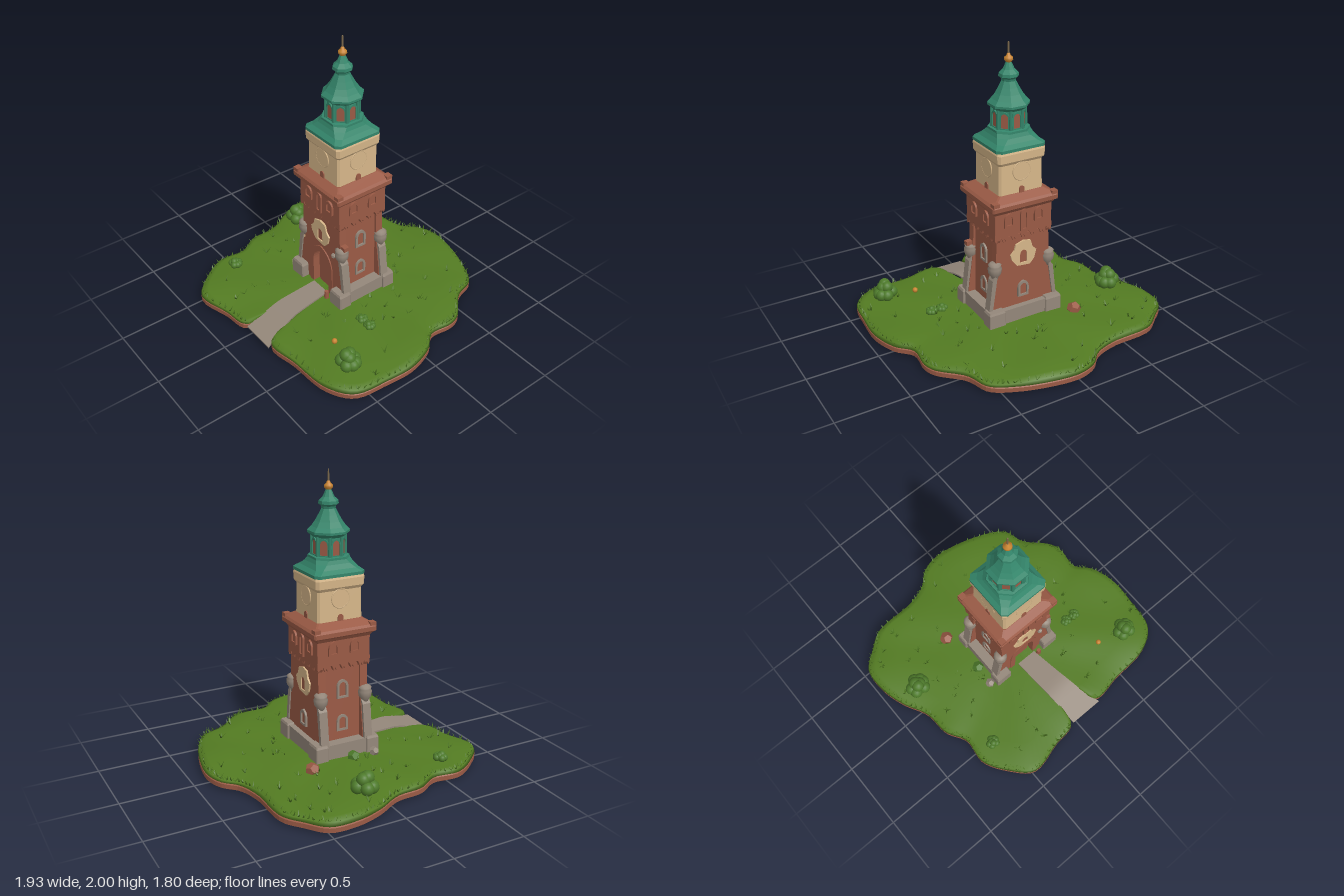
import * as THREE from 'three';
import { mergeGeometries, mergeVertices } from 'three/addons/utils/BufferGeometryUtils.js';

const mat = (name, color, side = THREE.FrontSide) => {
  const m = new THREE.MeshStandardMaterial({ color, side });
  m.name = name;
  return m;
};
let seed = 7;
const rand = () => (seed = (seed * 16807) % 2147483647) / 2147483647;
const V = (x, y, z) => new THREE.Vector3(x, y, z);

// Skins closed rings (listed bottom to top) and closes both ends
function skin(rings, smooth) {
  const centre = r => { const c = r.reduce((s, p) => s.add(p), V(0, 0, 0)).divideScalar(r.length); return r.map(() => c); };
  const all = [centre(rings[0]), ...rings, centre(rings[rings.length - 1])], pts = [];
  for (let k = 0; k < all.length - 1; k++) all[k].forEach((a, i) => {
    const j = (i + 1) % all[k].length, b = all[k][j], c = all[k + 1][j], d = all[k + 1][i];
    if (k > 0) pts.push(a, d, b);
    if (k < all.length - 2) pts.push(b, d, c);
  });
  // the bottom cap needs its own fan
  rings[0].forEach((a, i) => pts.push(all[0][0], a, rings[0][(i + 1) % rings[0].length]));
  let g = new THREE.BufferGeometry().setFromPoints(pts);
  if (smooth) g = mergeVertices(g, 1e-4);
  g.computeVertexNormals();
  return g;
}
// Stack of rectangles with cut corners: [y, halfX, halfZ, cut]
const loft = rows => skin(rows.map(([y, a, b, c]) => [
  [a, -b + c], [a, b - c], [a - c, b], [-a + c, b], [-a, b - c], [-a, -b + c], [-a + c, -b], [a - c, -b],
].map(([x, z]) => V(x, y, z))));

// Arched outline with its foot at y
function arch(w, y, h, tip = 0.5) {
  const s = new THREE.Shape(), spring = y + h - w * (1 + tip * 0.5);
  s.moveTo(-w, y); s.lineTo(w, y); s.lineTo(w, spring);
  s.quadraticCurveTo(w, y + h - w * 0.25, 0, y + h);
  s.quadraticCurveTo(-w, y + h - w * 0.25, -w, spring);
  s.closePath();
  return s;
}
const poly = p => new THREE.Shape(p.map(([x, y]) => new THREE.Vector2(x, y)));
const extrude = (s, depth) => new THREE.ExtrudeGeometry(s, { depth, bevelEnabled: false, curveSegments: 8 });
const holed = (s, hole) => { s.holes.push(new THREE.Path(hole.getPoints(8))); return s; };

export function createModel() {
  const root = new THREE.Group();
  root.name = 'clockTower';
  const brick = mat('brick', 0x9a5a45), cream = mat('plaster', 0xd6b689), stone = mat('stone', 0x94877a);
  const teal = mat('copperRoof', 0x34866b), gold = mat('gold', 0xc98430), rod = mat('rod', 0x7d6a4c);
  const grass = mat('grass', 0x537b22), blade = mat('grassBlade', 0x4a7220, THREE.DoubleSide), leaf = mat('leaf', 0x4d7a2a);
  const add = (name, g, m, x = 0, y = 0, z = 0, parent = root) => {
    const o = new THREE.Mesh(g, m);
    o.name = name; o.position.set(x, y, z); parent.add(o);
    return o;
  };
  const box = (name, m, w, h, d, x, y, z, p) => add(name, new THREE.BoxGeometry(w, h, d), m, x, y, z, p);

  // Island with a notch where the path leaves
  const outline = new THREE.CatmullRomCurve3([
    [0, -.9], [.19, -.88], [.42, -.81], [.57, -.72], [.63, -.56], [.78, -.4], [.81, -.31], [.8, -.14], [.89, -.03], [.95, .16],
    [.94, .37], [.9, .6], [.74, .71], [.45, .74], [.21, .76], [.14, .54], [-.015, .54], [-.05, .79], [-.23, .83], [-.48, .88], [-.62, .76],
    [-.73, .58], [-.72, .39], [-.8, .24], [-.82, .05], [-.91, -.13], [-.96, -.31], [-.95, -.5], [-.83, -.61], [-.7, -.7],
    [-.39, -.72], [-.23, -.77], [-.13, -.86],
  ].map(([x, z]) => V(x, 0, z)), true).getPoints(160).slice(0, -1);
  const ring = (t, y, bump = 0) => outline.map(p => V(p.x * t, y + bump * Math.sin(p.x * t * 9) * Math.cos(p.z * t * 8), p.z * t));
  add('soil', skin([ring(.97, 0), ring(1.005, .015), ring(1.005, .045), ring(.98, .062)]), brick);
  add('lawn', skin([ring(.97, .05), ring(1.005, .055), ring(.995, .075, .008), ring(.95, .088, .01), ring(.8, .097, .012),
    ring(.55, .1, .012), ring(.3, .105, .005), ring(.1, .108)], true), grass);

  // Path sloping down to the edge
  const path = new THREE.BoxGeometry(1, .012, 1, 1, 1, 10), pp = path.attributes.position, mix = THREE.MathUtils.lerp;
  for (let i = 0; i < pp.count; i++) {
    const t = pp.getZ(i) + .5, u = pp.getX(i) + .5;
    const left = mix(-.065, -.03, t), right = mix(.09, .18, t) + .045 * t ** 4;
    pp.setXYZ(i, mix(left, right, u), pp.getY(i) + (t < .55 ? .118 : mix(.118, .045, (t - .55) / .45)), .2 + t * .595);
  }
  path.computeVertexNormals();
  add('path', path, stone);

  // Grass tufts over the lawn and along the rim
  const blades = [];
  const tuft = (x, y, z, n, s) => {
    for (let i = 0; i < n; i++) {
      const a = rand() * 6.28, h = s * (.6 + rand() * .6), l = s * (.3 + rand() * .6), c = Math.cos(a), d = Math.sin(a), w = .007;
      const g = new THREE.BufferGeometry().setFromPoints([V(x - d * w, y, z + c * w), V(x + d * w, y, z - c * w), V(x + c * l, y + h, z + d * l)]);
      g.computeVertexNormals();
      blades.push(g);
    }
  };
  outline.forEach(p => { if (!(p.z > .5 && p.x > -.06 && p.x < .22)) tuft(p.x * .985, .07, p.z * .985, 3, .034); });
  for (let i = 0; i < 75; i++) {
    const p = outline[Math.floor(rand() * outline.length)], t = .35 + rand() * .6;
    if (p.z * t > .2 && Math.abs(p.x * t - .06) < .16) continue;
    if (Math.abs(p.x * t) > .3 || Math.abs(p.z * t) > .27) tuft(p.x * t, .09, p.z * t, 5, .042);
  }
  add('grassTufts', mergeGeometries(blades), blade);

  // Bushes, flower and loose rocks
  for (const [x, z, r, top] of [[-.75, -.15, .09, .245], [.72, .51, .085, .245], [-.59, .53, .05, .155], [.44, .17, .042, .14], [.52, .17, .042, .14]]) {
    const balls = [];
    for (let i = 0; i < 9; i++) {
      const a = i * 2.4, f = i < 6 ? .55 : .2, b = new THREE.IcosahedronGeometry(r * .5, 2);
      b.translate(x + Math.cos(a) * r * f, i < 6 ? mix(.09, top, .35) : top - r * .5 - (i - 6) * .008, z + Math.sin(a) * r * f);
      balls.push(b);
    }
    add('bush', mergeGeometries(balls), leaf);
  }
  add('flower', new THREE.SphereGeometry(.02, 8, 6), gold, .51, .125, .46);
  add('brickRock', new THREE.DodecahedronGeometry(.05), brick, -.35, .11, -.31);
  add('stoneRock', new THREE.DodecahedronGeometry(.035), stone, -.32, .12, .175);
  add('mossRock', new THREE.DodecahedronGeometry(.045), leaf, -.31, .11, .02);
  add('doorPost', new THREE.CylinderGeometry(.016, .02, .06, 6), brick, .115, .13, .225);

  // Lower brick storey: core plus flared front and back walls
  const tower = new THREE.Group();
  tower.name = 'tower'; tower.position.z = -.006; root.add(tower);
  const put = (name, g, m, x = 0, y = 0, z = 0, p = tower) => add(name, g, m, x, y, z, p);
  put('wallCore', loft([[.06, .2, .14, .005], [.8, .185, .14, .005]]), brick);
  const wall = () => poly([[-.258, .08], [.258, .08], [.245, .25], [.212, .48], [.2, .74], [-.2, .74], [-.212, .48], [-.245, .25]]);
  put('frontWall', extrude(holed(wall(), arch(.085, .1, .32, .8)), .055), brick, 0, 0, .13);
  put('backWall', extrude(wall(), .055), brick, 0, 0, -.185);
  put('doorSurround', extrude(holed(arch(.125, .1, .365, .8), arch(.085, .1, .32, .8)), .008), brick, 0, 0, .185);
  put('door', extrude(arch(.07, .1, .29, .8), .008), brick, 0, 0, .14);

  // Corner buttresses, plinth blocks and stone caps
  const capProfile = [[0, -.07], [.02, -.068], [.028, -.045], [.045, -.02], [.048, .015], [.04, .03], [.046, .042], [.03, .055], [0, .06]];
  const cap = new THREE.LatheGeometry(capProfile.map(([x, y]) => new THREE.Vector2(x, y)), 12);
  for (const sx of [-1, 1]) {
    box('sidePlinth', stone, .095, .15, .42, sx * .222, .13, 0, tower);
    for (const sz of [-1, 1]) {
      const strip = poly([[.24, .2], [.268, .2], [.238, .44], [.218, .47], [.2, .47]].map(([x, y]) => [x * sx, y]));
      put('buttressFacing', extrude(strip, .06), stone, 0, 0, sz * .165 - .03);
      put('buttressCap', cap, stone, sx * .207, .51, sz * .168);
      put('cornerPlinth', loft([[.06, .064, .048, .006], [.2, .062, .046, .006], [.215, .055, .04, .006]]), stone, sx * .222, 0, sz * .192);
    }
  }
  put('patch', new THREE.IcosahedronGeometry(.028, 0), cream, -.2, .44, .165);
  put('looseBrick', new THREE.BoxGeometry(.05, .03, .04), brick, .225, .575, .16);
  put('wallKnob', new THREE.DodecahedronGeometry(.02), stone, .145, .475, .19);
  box('backPlinth', stone, .4, .15, .06, 0, .13, -.195, tower);

  // Upper brick storey and cornice
  put('upperStorey', loft([[.765, .218, .196, .004], [.92, .218, .196, .004], [.945, .235, .215, .008], [.955, .25, .23, .01],
    [.985, .25, .232, .01], [1.0, .235, .22, .01], [1.035, .17, .168, .01]]), brick);
  for (const sx of [-1, 1]) for (const sz of [-1, 1]) box('corniceCorner', brick, .045, .03, .045, sx * .222, 1.0, sz * .205, tower);

  // Details repeated on every side; local +z faces outward
  const blob = () => poly([[-.09, .56], [-.1, .6], [-.07, .63], [-.06, .67], [0, .69], [.055, .68], [.07, .63], [.1, .6], [.085, .54], [.05, .5], [-.05, .51]]
    .reverse());
  for (let k = 0; k < 4; k++) {
    const face = new THREE.Group(), side = k % 2 === 1;
    face.name = ['frontDetails', 'leftDetails', 'backDetails', 'rightDetails'][k];
    face.rotation.y = k * Math.PI / 2; tower.add(face);
    const half = side ? .196 : .218, out = side ? .218 : .196, low = side ? .19 : .185;
    const window = (u, y, w, h, z, frame) => {
      if (frame) put('windowFrame', extrude(holed(arch(w + .016, y - .014, h + .032), arch(w, y, h)), .014), frame, u, 0, z, face);
      put('windowPane', extrude(arch(w, y, h), .004), brick, u, 0, z, face);
    };
    // scalloped corbels
    const s = new THREE.Shape(), n = 6, step = half * 2 / n;
    s.moveTo(half, .78); s.lineTo(-half, .78);
    for (let i = 0; i < n; i++) {
      const x = -half + i * step;
      s.lineTo(x, .735); s.lineTo(x + step * .15, .715);
      s.quadraticCurveTo(x + step * .5, .79, x + step * .85, .715); s.lineTo(x + step, .735);
    }
    s.closePath();
    put('corbels', extrude(s, .04), brick, 0, 0, out - .04, face);
    // upper windows
    for (const u of side ? [-.08, .08] : [-.115, .115]) window(u, .835, .022, .065, out, brick);
    if (!side) window(0, .785, .014, .125, out, brick);
    // lower windows
    if (side) window(0, .515, .026, .1, low, stone);
    else {
      put('plasterSurround', extrude(holed(blob(), arch(.027, .525, .095)), .012), cream, 0, 0, low, face);
      window(0, .525, .027, .095, low, null);
    }
    if (k > 0) window(0, .28, .026, .085, low, stone);
    // plaster storey: clock disc, rim and low door
    put('clockFace', new THREE.CylinderGeometry(.062, .062, .008, 28).rotateX(Math.PI / 2), cream, 0, 1.185, .166, face);
    put('clockRim', new THREE.TorusGeometry(.064, .005, 6, 28), cream, 0, 1.185, .166, face);
    put('balconyDoor', extrude(arch(.02, 1.0, .08), .01), brick, 0, 0, .162, face);
  }

  // Plaster storey
  put('plasterStorey', loft([[1.0, .166, .166, .014], [1.24, .163, .163, .014], [1.262, .178, .178, .018], [1.315, .18, .18, .018], [1.34, .172, .172, .018]]), cream);

  // Copper roof, lantern and spire
  put('lowerRoof', loft([[1.332, .184, .184, .03], [1.352, .184, .184, .03], [1.375, .155, .155, .035], [1.405, .135, .135, .05],
    [1.43, .125, .125, .06], [1.445, .125, .125, .066], [1.45, .1, .1, .059]]), teal);
  put('lantern', loft([[1.44, .1, .1, .059], [1.58, .098, .098, .057]]), teal);
  put('spire', loft([[1.57, .102, .102, .06], [1.595, .13, .13, .076], [1.61, .13, .13, .076], [1.635, .106, .106, .062], [1.67, .083, .083, .049],
    [1.71, .062, .062, .036], [1.75, .043, .043, .025], [1.765, .046, .046, .027], [1.78, .062, .062, .036], [1.8, .06, .06, .035],
    [1.825, .036, .036, .021], [1.87, .017, .017, .01]]), teal);
  for (let i = 0; i < 8; i++) {
    const side = new THREE.Group();
    side.name = 'lanternSide'; side.rotation.y = i * Math.PI / 4; tower.add(side);
    put('lanternFrame', extrude(holed(arch(.034, 1.445, .122), arch(.025, 1.455, .1)), .01), teal, 0, 0, .098, side);
    put('lanternWindow', extrude(arch(.025, 1.455, .1), .004), brick, 0, 0, .098, side);
    put('lanternPost', new THREE.CylinderGeometry(.011, .013, .14, 6), teal, .042, 1.51, .102, side);
  }

  // Finial
  const knob = [[0, 1.86], [.016, 1.862], [.018, 1.872], [.03, 1.885], [.028, 1.9], [.014, 1.912], [.01, 1.925], [0, 1.932]];
  put('finialKnob', new THREE.LatheGeometry(knob.map(([x, y]) => new THREE.Vector2(x, y)), 14), gold);
  put('finialRod', new THREE.CylinderGeometry(.005, .007, .09, 6), rod, 0, 1.955, 0);
  return root;
}
